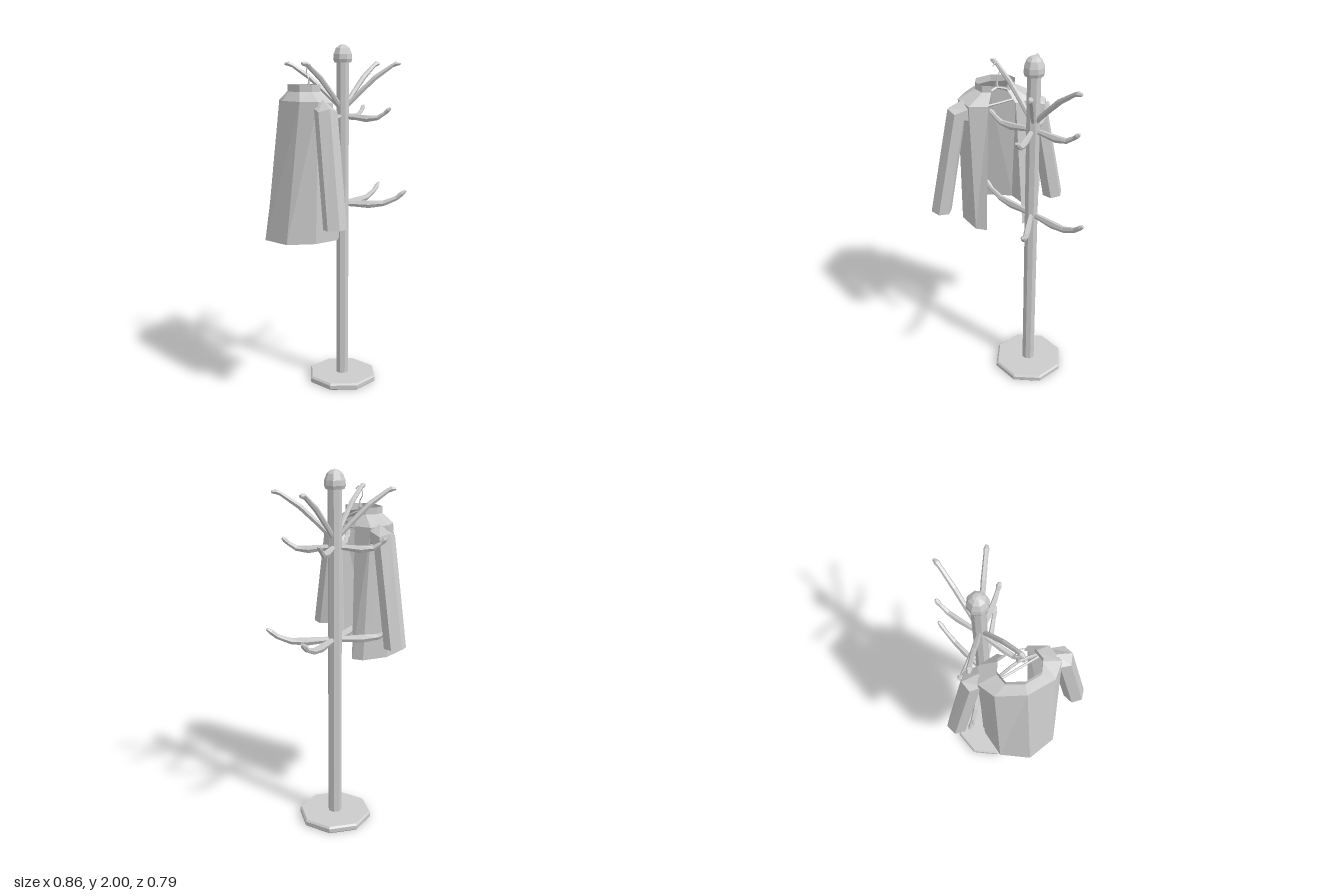
import * as THREE from 'three';

const V = (x, y, z) => new THREE.Vector3(x, y, z);
const solid = new THREE.MeshStandardMaterial({ color: 0xcccccc, flatShading: true });
const cloth = new THREE.MeshStandardMaterial({ color: 0xcccccc, flatShading: true, side: THREE.DoubleSide });

// Skin a list of equal-length rings of points, optionally closed round and capped
function loft(rings, closed = true, capped = true) {
  const pos = [];
  const tri = (...pts) => pts.forEach((p) => pos.push(p.x, p.y, p.z));
  const n = rings[0].length;
  for (let i = 0; i < rings.length - 1; i++) {
    for (let j = 0; j < (closed ? n : n - 1); j++) {
      const k = (j + 1) % n;
      const [a, b, c, d] = [rings[i][j], rings[i][k], rings[i + 1][k], rings[i + 1][j]];
      tri(a, b, c);
      tri(a, c, d);
    }
  }
  if (capped) {
    const first = rings[0], last = rings[rings.length - 1];
    for (let j = 1; j < n - 1; j++) {
      tri(first[0], first[j + 1], first[j]);
      tri(last[0], last[j], last[j + 1]);
    }
  }
  const g = new THREE.BufferGeometry();
  g.setAttribute('position', new THREE.Float32BufferAttribute(pos, 3));
  g.computeVertexNormals();
  return g;
}

function add(parent, name, geometry, material = solid) {
  const m = new THREE.Mesh(geometry, material);
  m.name = name;
  parent.add(m);
  return m;
}

// Curved arm: path rows are [fraction of reach, height, half width, half thickness]
function armGeometry(dx, dz, path) {
  const centres = path.map(([f, y]) => V(dx * f, y, dz * f));
  const flat = V(dx, 0, dz).normalize();
  const rings = path.map(([, , w, h], i) => {
    const d = centres[Math.min(i + 1, path.length - 1)].clone()
      .sub(centres[Math.max(i - 1, 0)]).normalize();
    const run = d.dot(flat);
    const up = flat.clone().multiplyScalar(-d.y).add(V(0, run, 0));
    const side = up.clone().cross(d);
    return Array.from({ length: 6 }, (_, k) => {
      const t = (k * Math.PI) / 3;
      return centres[i].clone().addScaledVector(side, w * Math.cos(t)).addScaledVector(up, h * Math.sin(t));
    });
  });
  return loft(rings);
}

const TIERS = [
  { name: 'topArm', dx: 0.3, dz: 0.13, path: [
    [0.03, 1.645, 0.012, 0.014], [0.27, 1.725, 0.013, 0.015], [0.56, 1.815, 0.014, 0.016],
    [0.86, 1.883, 0.012, 0.012], [0.93, 1.893, 0.015, 0.014], [1, 1.893, 0.008, 0.008]] },
  { name: 'middleArm', dx: 0.22, dz: 0.167, path: [
    [0.05, 1.6, 0.012, 0.013], [0.2, 1.598, 0.013, 0.016], [0.5, 1.588, 0.016, 0.022],
    [0.73, 1.594, 0.014, 0.015], [0.88, 1.62, 0.011, 0.012], [0.95, 1.638, 0.015, 0.014], [1, 1.65, 0.008, 0.007]] },
  { name: 'lowerArm', dx: 0.33, dz: 0.167, path: [
    [0.03, 1.092, 0.013, 0.016], [0.15, 1.092, 0.014, 0.018], [0.42, 1.088, 0.017, 0.024],
    [0.65, 1.095, 0.015, 0.018], [0.85, 1.125, 0.012, 0.014], [0.94, 1.153, 0.015, 0.015], [1, 1.17, 0.008, 0.008]] },
];

function buildStand() {
  const stand = new THREE.Group();
  stand.name = 'stand';
  stand.position.set(0.09, 0, -0.115);
  const lathe = (pts) => new THREE.LatheGeometry(pts.map(([r, y]) => new THREE.Vector2(r, y)), 8);

  add(stand, 'base', lathe([[0, 0], [0.205, 0], [0.21, 0.006], [0.21, 0.028], [0.2, 0.038], [0, 0.038]]));
  const pole = add(stand, 'pole', new THREE.CylinderGeometry(0.038, 0.038, 1.88, 8));
  pole.position.y = 0.97;
  add(stand, 'finial', lathe([[0, 1.9], [0.05, 1.9], [0.057, 1.918], [0.055, 1.945], [0.042, 1.978], [0.022, 1.995], [0, 2]]));

  // Three tiers of four splayed arms
  for (const { name, dx, dz, path } of TIERS) {
    for (const sx of [-1, 1]) for (const sz of [-1, 1]) add(stand, name, armGeometry(sx * dx, sz * dz, path));
  }
  return stand;
}

function buildCoat() {
  const coat = new THREE.Group();
  coat.name = 'coat';

  // Half outlines [x, y, z] from the front opening round to the middle of the back
  const collar = [[-0.12, 0.045], [-0.135, 0.09], [-0.195, 0.112], [-0.255, 0.088], [-0.28, 0]];
  const levels = [
    [[-0.035, 0.95, 0.108], [-0.07, 0.95, 0.163], [-0.215, 0.95, 0.2], [-0.365, 0.95, 0.155], [-0.43, 0.95, 0]],
    [[-0.073, 1.69, 0.076], [-0.103, 1.69, 0.175], [-0.2, 1.7, 0.208], [-0.28, 1.7, 0.15], [-0.318, 1.7, 0]],
    collar.map(([x, z]) => [x, 1.748, z]),
    collar.map(([x, z]) => [x, 1.785, z]),
  ];
  const rings = levels.map((half) => {
    const left = half.map((p) => V(...p));
    const right = half.slice(0, -1).reverse().map(([x, y, z]) => V(x, y, -z));
    return [...left, ...right].reverse();
  });
  add(coat, 'coatBody', loft(rings, false, false), cloth);

  // Sleeves: [outer z, outer y, inner z, inner y] at shoulder, bend and cuff
  const cuts = [[0.19, 1.71, 0.14, 1.56], [0.275, 1.668, 0.18, 1.6], [0.395, 1.057, 0.278, 1.048]];
  for (const s of [1, -1]) {
    const cx = s > 0 ? -0.165 : -0.153;
    const sections = cuts.map(([oz, oy, iz, iy]) => {
      const at = (t, x) => V(cx + x, oy + (iy - oy) * t, s * (oz + (iz - oz) * t));
      const ring = [at(0, 0), at(0.25, 0.054), at(0.75, 0.054), at(1, 0), at(0.75, -0.054), at(0.25, -0.054)];
      return s > 0 ? ring.reverse() : ring;
    });
    add(coat, s > 0 ? 'leftSleeve' : 'rightSleeve', loft(sections, true, false), cloth);
  }
  return coat;
}

function buildHanger() {
  const hanger = new THREE.Group();
  hanger.name = 'hanger';
  hanger.position.set(-0.165, 0, 0);
  hanger.rotation.y = 0.27;
  const tube = (pts, n, r) => new THREE.TubeGeometry(
    new THREE.CatmullRomCurve3(pts.map(([y, z]) => V(0, y, z)), false, 'catmullrom', 0.3), n, r, 5);

  // Sloping shoulders, straight lower bar and wire hook
  add(hanger, 'hangerShoulders', tube([[1.665, -0.16], [1.72, -0.08], [1.755, 0], [1.72, 0.08], [1.665, 0.16]], 8, 0.008));
  add(hanger, 'hangerBar', tube([[1.665, -0.16], [1.662, 0], [1.665, 0.16]], 2, 0.006));
  add(hanger, 'hangerHook', tube([[1.75, 0], [1.81, 0], [1.84, -0.018], [1.875, -0.014], [1.892, 0.008], [1.875, 0.026]], 14, 0.003));
  add(hanger, 'hookSocket', new THREE.CylinderGeometry(0.003, 0.01, 0.05, 6)).position.y = 1.785;
  return hanger;
}

export function createModel() {
  const model = new THREE.Group();
  model.name = 'coatStand';
  model.add(buildStand(), buildCoat(), buildHanger());
  return model;
}
